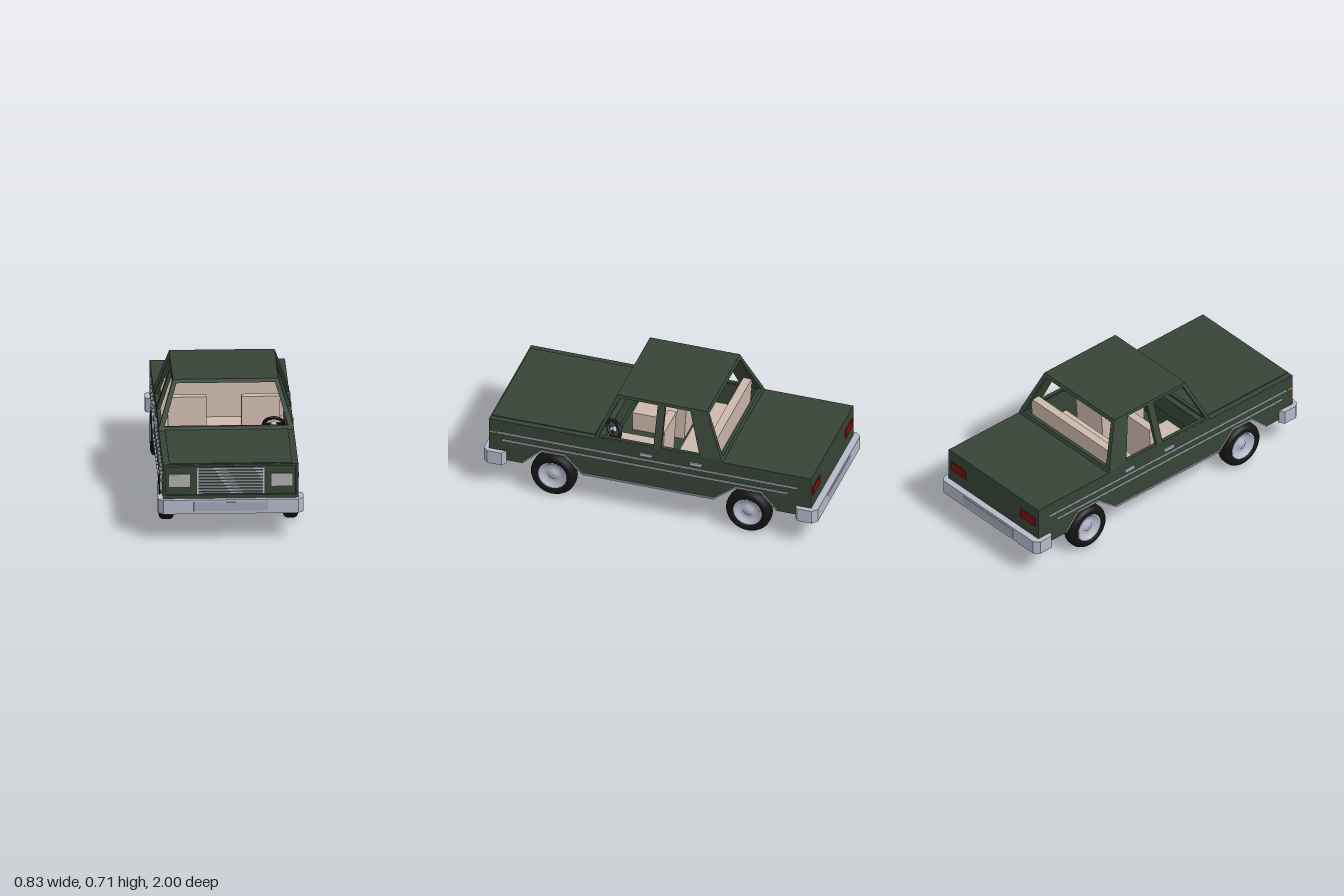
import * as THREE from 'three';

const mat = (color, side = THREE.FrontSide) =>
  new THREE.MeshStandardMaterial({ color, side, flatShading: true });

export function createModel() {
  const car = new THREE.Group();
  car.name = 'car';
  const paint = mat(0x364436), chrome = mat(0xb4b8c8), beige = mat(0xcbb8ad);
  const black = mat(0x161616), red = mat(0x7a0c0c), amber = mat(0xc08a18);
  const grey = mat(0xb0b0b0), plateGrey = mat(0xa3a7b5);
  const rubber = new THREE.MeshStandardMaterial({ color: 0x141414 });
  const steel = new THREE.MeshStandardMaterial({ color: 0xb4b8c8, side: THREE.DoubleSide });

  const add = (name, geo, material) => {
    const m = new THREE.Mesh(geo, material);
    m.name = name;
    car.add(m);
    return m;
  };
  // box given by its minimum and maximum corners
  const box = (name, material, x0, x1, y0, y1, z0, z1) => {
    const m = add(name, new THREE.BoxGeometry(x1 - x0, y1 - y0, z1 - z0), material);
    m.position.set((x0 + x1) / 2, (y0 + y1) / 2, (z0 + z1) / 2);
    return m;
  };
  const shape = (pts, ...holes) => {
    const v = a => a.map(p => new THREE.Vector2(...p));
    const s = new THREE.Shape(v(pts));
    holes.forEach(h => s.holes.push(new THREE.Path(v(h))));
    return s;
  };
  // extrude a shape, then move each vertex by a rule
  const panel = (name, material, s, depth, rule) => {
    const g = new THREE.ExtrudeGeometry(s, { depth, bevelEnabled: false });
    const p = g.attributes.position;
    for (let i = 0; i < p.count; i++) p.setXYZ(i, ...rule(p.getX(i), p.getY(i), p.getZ(i)));
    g.computeVertexNormals();
    return add(name, g, material);
  };
  // side-view shape (z, y) placed with its outer face at x = side * outer(y)
  const sidePanel = (name, material, s, depth, side, outer) =>
    panel(name, material, s, depth, (z, y, d) =>
      [side > 0 ? outer(y) - d : -outer(y) + depth - d, y, z]);

  const W = 0.385, LOW = 0.178, TOP = 0.442;
  const frontArch = [[0.41, LOW], [0.515, 0.283], [0.66, 0.283], [0.77, LOW]];
  const rearArch = [[-0.755, LOW], [-0.66, 0.283], [-0.505, 0.283], [-0.375, LOW]];

  // lower body: solid nose and tail, wheel wells, doors, floor
  box('noseCore', paint, -0.22, 0.22, LOW, TOP, 0.33, 0.955);
  box('tailCore', paint, -0.22, 0.22, LOW, TOP, -0.96, -0.42);
  box('floor', paint, -0.37, 0.37, LOW, 0.2, -0.375, 0.34);
  box('floorRear', paint, -0.22, 0.22, LOW, 0.2, -0.43, -0.37);
  box('dashboard', paint, -0.36, 0.36, 0.33, 0.438, 0.29, 0.335);
  box('hood', paint, -0.35, 0.35, TOP - 0.01, 0.447, 0.345, 0.962);
  for (const s of [1, -1]) {
    const flat = () => W;
    sidePanel('frontFender', paint,
      shape([[0.33, LOW], ...frontArch, [0.955, LOW], [0.955, TOP], [0.33, TOP]]), 0.165, s, flat);
    sidePanel('rearFender', paint,
      shape([[-0.96, LOW], ...rearArch.slice(0, 3), [-0.42, 0.217], [-0.42, TOP], [-0.96, TOP]]), 0.165, s, flat);
    sidePanel('doors', paint,
      shape([[-0.42, 0.217], [-0.375, LOW], [0.33, LOW], [0.33, 0.45], [-0.42, 0.45]]), 0.025, s, flat);
  }

  // front surround, grille and headlights
  const rect = (x, y0, y1) => [[-x, y0], [x, y0], [x, y1], [-x, y1]];
  panel('frontSurround', paint, shape(rect(W, LOW, TOP), rect(0.37, 0.26, 0.428)), 0.017,
    (x, y, d) => [x, y, 0.953 + d]);
  box('grilleBack', paint, -0.19, 0.19, 0.265, 0.42, 0.95, 0.958);
  for (let i = 0; i < 9; i++) {
    const y = 0.27 + i * 0.0181;
    box('grilleBar', chrome, -0.182, 0.182, y - 0.0035, y + 0.0035, 0.95, 0.966);
  }
  for (const s of [1, -1]) {
    const span = (a, b) => s > 0 ? [a, b] : [-b, -a];
    box('grillePost', chrome, ...span(0.181, 0.195), 0.265, 0.421, 0.95, 0.97);
    box('headlight', grey, ...span(0.23, 0.353), 0.306, 0.382, 0.95, 0.966);
    box('tailLight', red, ...span(0.235, 0.36), 0.315, 0.372, -0.965, -0.95);
    box('sideMarker', amber, ...span(0.38, 0.389), 0.355, 0.366, 0.93, 0.965);

    // side mouldings and door handles
    box('upperTrim', chrome, ...span(0.38, 0.39), 0.358, 0.366, -0.88, 0.92);
    box('lowerTrim', chrome, ...span(0.38, 0.39), 0.311, 0.319, -0.82, 0.89);
    for (const z of [0.028, -0.27])
      box('doorHandle', chrome, ...span(0.38, 0.394), 0.386, 0.404, z - 0.037, z + 0.037);
    const path = [...rearArch, ...frontArch];
    const upper = path.map(([z, y]) => [z, y + 0.009]).reverse();
    sidePanel('archTrim', chrome, shape([...path, ...upper]), 0.012, s, () => 0.392);
  }

  // bumpers wrapped around the corners, with a number plate
  for (const s of [1, -1]) {
    const half = [[0.385, 1], [0.415, 0.97], [0.415, 0.885], [0.385, 0.865], [0.38, 0.865], [0.38, 0.95]];
    const outline = [...half, ...half.map(([x, z]) => [-x, z]).reverse()];
    panel(s > 0 ? 'frontBumper' : 'rearBumper', chrome, shape(outline), 0.083,
      (x, z, d) => [s * x, 0.24 - d, s * z]);
    box('plate', plateGrey, -0.212, 0.212, 0.174, 0.225, s > 0 ? 0.98 : -1.002, s > 0 ? 1.002 : -0.98);
  }

  // cabin: leaning side frames, screen frames and roof
  const lean = y => 0.385 - Math.max(0, y - 0.455) * 0.33;
  const frame = shape(
    [[-0.43, 0.438], [0.345, 0.438], [0.335, 0.455], [0.23, 0.712], [-0.308, 0.712], [-0.422, 0.455]],
    [[-0.015, 0.461], [0.317, 0.461], [0.208, 0.697], [-0.015, 0.697]],
    [[-0.29, 0.461], [-0.06, 0.461], [-0.06, 0.697], [-0.21, 0.697]]);
  for (const s of [1, -1]) sidePanel('cabinSide', paint, frame, 0.022, s, lean);
  const screen = shape(
    [[-0.383, 0.438], [0.383, 0.438], [0.382, 0.455], [0.3, 0.712], [-0.3, 0.712], [-0.382, 0.455]],
    [[-0.352, 0.462], [0.352, 0.462], [0.281, 0.692], [-0.281, 0.692]]);
  panel('windshieldFrame', paint, screen, 0.022, (x, y, d) => [x, y, 0.323 - (y - 0.438) * 0.42 + d]);
  panel('rearScreenFrame', paint, screen, 0.022, (x, y, d) => [x, y, -0.43 + (y - 0.438) * 0.445 + d]);
  box('roof', paint, -0.3, 0.3, 0.694, 0.713, -0.308, 0.23);

  // seats: cushion plus a slightly reclined back
  const seat = (name, x0, x1, zBack, zFront) => {
    box(name + 'Cushion', beige, x0, x1, 0.2, 0.315, zBack, zFront);
    const b = shape([[zBack - 0.03, 0.2], [zBack + 0.03, 0.2], [zBack, 0.527], [zBack - 0.05, 0.527]]);
    panel(name + 'Back', beige, b, x1 - x0, (z, y, d) => [x1 - d, y, z]);
  };
  seat('leftSeat', 0.1, 0.32, -0.01, 0.27);
  seat('rightSeat', -0.32, -0.1, -0.01, 0.27);
  seat('rearBench', -0.35, 0.35, -0.315, -0.1);

  // steering wheel and column
  const steering = new THREE.Group();
  steering.name = 'steeringWheel';
  steering.position.set(0.272, 0.45, 0.257);
  steering.rotation.x = 0.64;
  const part = (geo, m) => { const k = new THREE.Mesh(geo, m); steering.add(k); return k; };
  part(new THREE.TorusGeometry(0.056, 0.01, 8, 24), rubber).name = 'rim';
  part(new THREE.BoxGeometry(0.11, 0.014, 0.008), black).name = 'spoke';
  const column = part(new THREE.CylinderGeometry(0.018, 0.018, 0.1, 12), chrome);
  column.name = 'column';
  column.rotation.x = Math.PI / 2;
  column.position.z = 0.045;
  car.add(steering);

  // wheels: rounded tyre and dished rim
  const lathe = pts => new THREE.LatheGeometry(pts.map(p => new THREE.Vector2(...p)), 32);
  const tyre = lathe([[0, -0.036], [0.085, -0.04], [0.108, -0.043], [0.126, -0.036], [0.134, -0.02], [0.135, 0],
    [0.134, 0.02], [0.126, 0.036], [0.108, 0.043], [0.088, 0.04], [0.083, 0.03]]);
  const rim = lathe([[0.088, 0.036], [0.082, 0.041], [0.076, 0.036], [0.06, 0.02], [0.035, 0.014],
    [0.028, 0.026], [0, 0.03]]);
  for (const s of [1, -1]) for (const z of [0.588, -0.58]) {
    const wheel = new THREE.Group();
    wheel.name = 'wheel';
    const t = new THREE.Mesh(tyre, rubber), r = new THREE.Mesh(rim, steel);
    t.name = 'tyre';
    r.name = 'rim';
    wheel.add(t, r);
    wheel.rotation.z = -s * Math.PI / 2;
    wheel.position.set(s * 0.354, 0.135, z);
    car.add(wheel);
  }
  return car;
}
